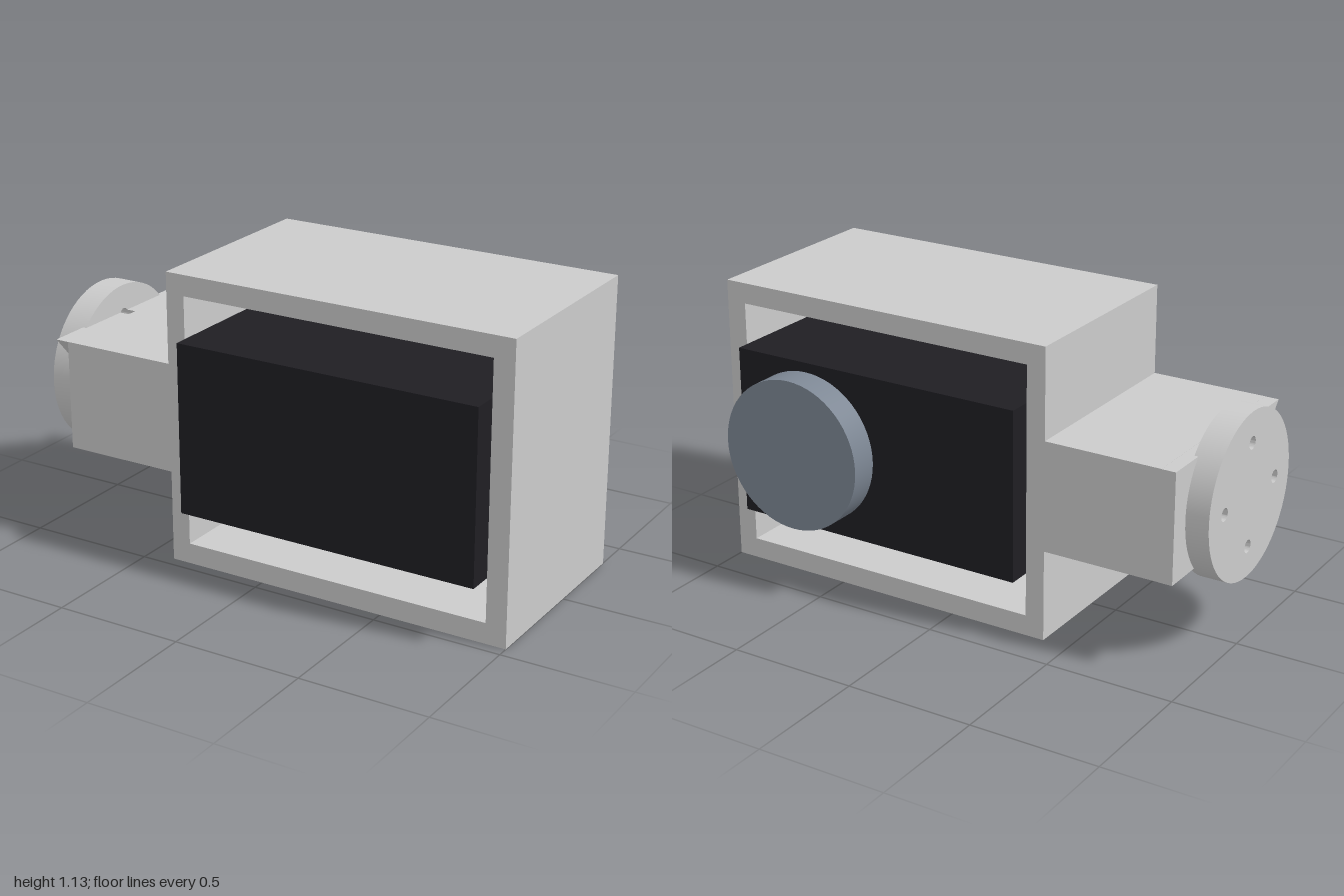
import * as THREE from 'three';
import { toCreasedNormals } from 'three/addons/utils/BufferGeometryUtils.js';

const MID_Y = 0.567, MID_Z = 0.0525;
const BOLT_RADIUS = 0.025, BOLT_CIRCLE = 0.2;

const grey = new THREE.MeshStandardMaterial({ color: 0xcccccc });
const black = new THREE.MeshStandardMaterial({ color: 0x1f1e23 });
const slate = new THREE.MeshStandardMaterial({ color: 0x7d8794 });

function add(group, name, geometry, material, x, y, z) {
  const mesh = new THREE.Mesh(geometry, material);
  mesh.name = name;
  mesh.position.set(x, y, z);
  group.add(mesh);
  return mesh;
}

// Box given by its min and max corners
function box(group, name, material, a, b) {
  const [w, h, d] = a.map((v, i) => b[i] - v);
  add(group, name, new THREE.BoxGeometry(w, h, d), material,
    (a[0] + b[0]) / 2, (a[1] + b[1]) / 2, (a[2] + b[2]) / 2);
}

function extrude(shape, depth) {
  const g = new THREE.ExtrudeGeometry(shape, { depth, bevelEnabled: false, curveSegments: 32 });
  return toCreasedNormals(g, 0.6);
}

function rectangle(PathType, x0, y0, x1, y1) {
  return new PathType([[x0, y0], [x1, y0], [x1, y1], [x0, y1]]
    .map(([x, y]) => new THREE.Vector2(x, y)));
}

function boltHole(angle) {
  return new THREE.Path().absarc(BOLT_CIRCLE * Math.cos(angle), BOLT_CIRCLE * Math.sin(angle),
    BOLT_RADIUS, 0, Math.PI * 2, true);
}

export function createModel() {
  const model = new THREE.Group();
  model.name = 'servoBracket';

  // Rectangular housing, open front to back
  const frame = rectangle(THREE.Shape, -0.395, 0, 1, 1.13);
  frame.holes.push(rectangle(THREE.Path, -0.32, 0.08, 0.92, 1.05));
  add(model, 'housingFrame', extrude(frame, 0.805), grey, 0, 0, -0.35);

  // Motor body and its rear wheel
  box(model, 'motorBody', black, [-0.305, 0.235, -0.415], [0.905, 0.897, 0.525]);
  const wheel = new THREE.CylinderGeometry(0.295, 0.295, 0.11, 64).rotateX(Math.PI / 2);
  add(model, 'rearWheel', wheel, slate, 0.595, 0.565, -0.47);

  // Side arm
  box(model, 'arm', grey, [-0.855, 0.355, -0.35], [-0.395, 0.78, 0.455]);

  // Arm end with bolt bores; the upper and lower ones break through the surface
  const hw = 0.4025, hh = 0.2125, a = Math.PI / 6;
  const end = new THREE.Shape();
  end.moveTo(-hw, -hh);
  end.absarc(0, -BOLT_CIRCLE, BOLT_RADIUS, -5 * a, -a, true);
  end.lineTo(hw, -hh);
  end.lineTo(hw, hh);
  end.absarc(0, BOLT_CIRCLE, BOLT_RADIUS, a, 5 * a, true);
  end.lineTo(-hw, hh);
  end.closePath();
  end.holes.push(boltHole(0), boltHole(Math.PI));
  add(model, 'armEnd', extrude(end, 0.055).rotateY(Math.PI / 2), grey, -0.91, MID_Y, MID_Z);

  // Round flange with four bolt holes
  const disc = new THREE.Shape().absarc(0, 0, 0.32, 0, Math.PI * 2, false);
  for (let i = 0; i < 4; i++) disc.holes.push(boltHole(i * Math.PI / 2));
  add(model, 'flange', extrude(disc, 0.105).rotateY(Math.PI / 2), grey, -1, MID_Y, MID_Z);

  return model;
}
